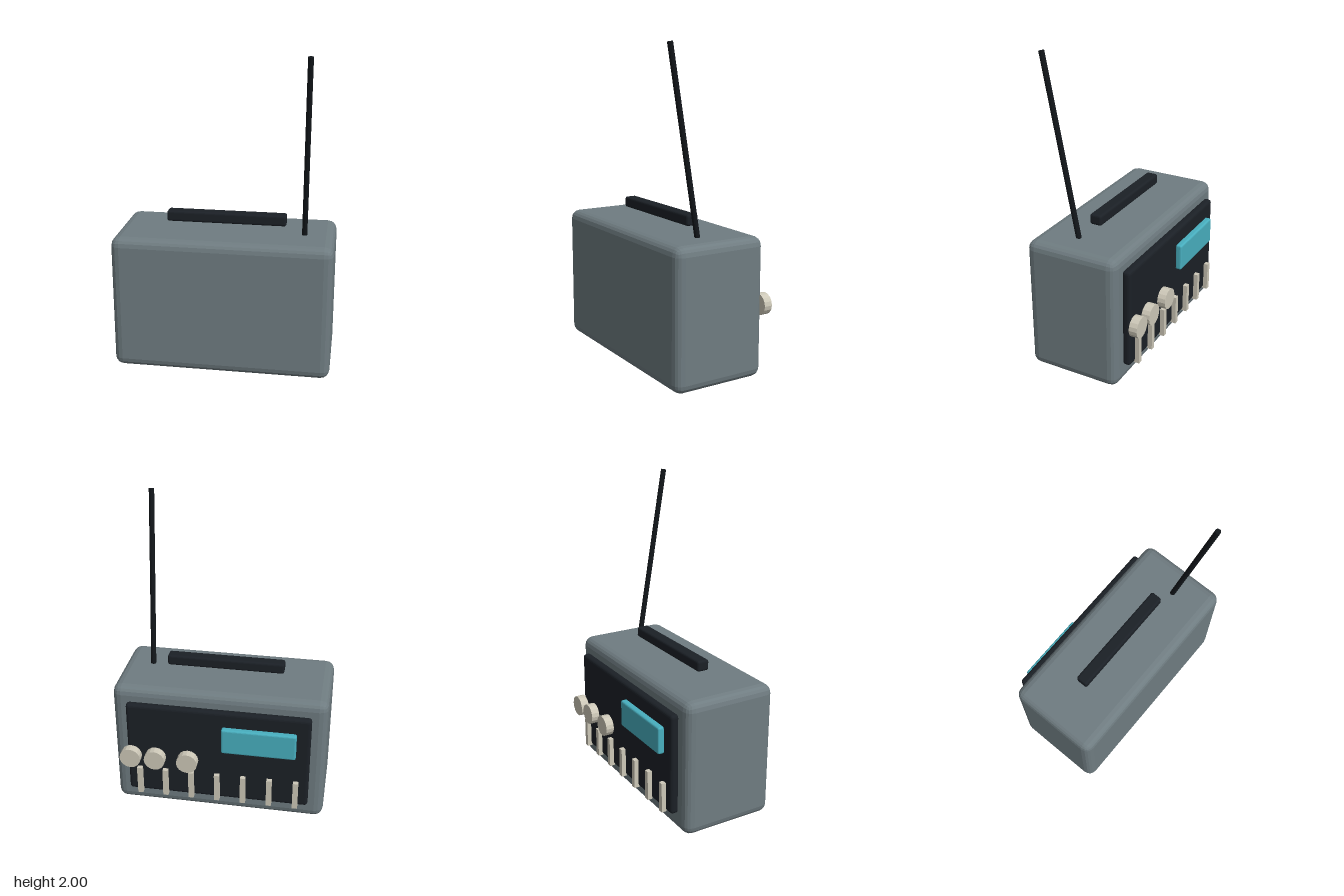
import * as THREE from 'three';
import { RoundedBoxGeometry } from 'three/addons/geometries/RoundedBoxGeometry.js';

const material = (color) => new THREE.MeshStandardMaterial({ color, flatShading: true });

export function createModel() {
  const group = new THREE.Group();
  const shell = material(0x6f7c81);
  const dark = material(0x1b2026);
  const glass = material(0x48afbf);
  const ivory = material(0xcdc8b8);
  const black = material(0x12161a);

  function add(name, geometry, mat, x, y, z) {
    const mesh = new THREE.Mesh(geometry, mat);
    mesh.name = name;
    mesh.position.set(x, y, z);
    group.add(mesh);
    return mesh;
  }
  const bevelled = (w, h, d, r) => new RoundedBoxGeometry(w, h, d, 2, r);

  // Cabinet and the control panel on its -z side
  add('cabinet', bevelled(1.376, 0.87, 0.612, 0.057), shell, 0, 0.435, 0.056);
  add('controlPanel', bevelled(1.18, 0.65, 0.055, 0.02), dark, 0, 0.451, -0.2705);
  add('display', bevelled(0.473, 0.175, 0.045, 0.012), glass, -0.267, 0.588, -0.3135);

  // Tuning knobs
  const knob = new THREE.CylinderGeometry(0.068, 0.068, 0.054, 16).rotateX(Math.PI / 2);
  for (const x of [0.188, 0.4, 0.56]) add('knob', knob, ivory, x, 0.412, -0.337);

  // Row of slim preset keys
  const key = new THREE.BoxGeometry(0.034, 0.194, 0.034);
  for (let i = -3; i <= 3; i++) add('presetKey', key, ivory, i * 0.17, 0.218, -0.31);

  // Carrying handle above the cabinet
  add('handle', bevelled(0.76, 0.069, 0.08, 0.014), dark, 0, 0.946, 0.055);

  // Leaning aerial, rooted just inside the cabinet
  const foot = new THREE.Vector3(0.496, 0.8, 0.089);
  const tip = new THREE.Vector3(0.515, 1.997, 0.302);
  const span = tip.clone().sub(foot);
  const mid = foot.clone().lerp(tip, 0.5);
  const aerial = add('aerial', new THREE.CylinderGeometry(0.017, 0.017, span.length(), 10),
    black, mid.x, mid.y, mid.z);
  aerial.quaternion.setFromUnitVectors(new THREE.Vector3(0, 1, 0), span.normalize());

  return group;
}
